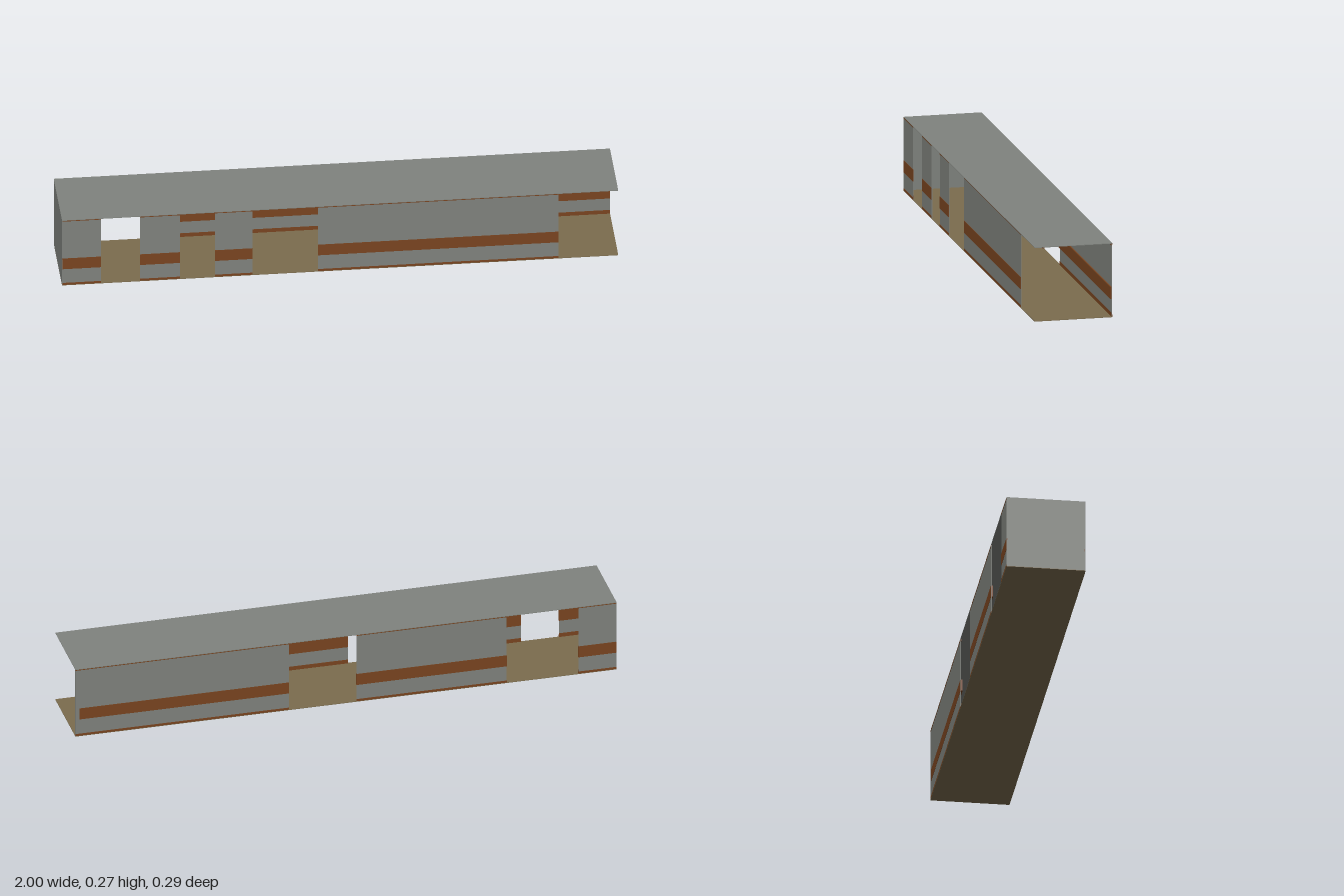
import * as THREE from 'three';

const mat = (name, color) => {
  const m = new THREE.MeshStandardMaterial({ color });
  m.name = name;
  return m;
};

export function createModel() {
  const grey = mat('wall grey', 0x80837e);
  const brown = mat('trim brown', 0x7a4520);
  const tan = mat('floor tan', 0x7b6c4e);
  const corridor = new THREE.Group();
  corridor.name = 'corridor';

  const H = 0.273, W = 0.143;

  // Box given by its minimum and maximum on each axis
  function slab(parent, name, material, [x0, x1], [y0, y1], [z0, z1]) {
    const mesh = new THREE.Mesh(new THREE.BoxGeometry(x1 - x0, y1 - y0, z1 - z0), material);
    mesh.position.set((x0 + x1) / 2, (y0 + y1) / 2, (z0 + z1) / 2);
    mesh.name = name;
    parent.add(mesh);
  }

  // Floor, ceiling and the closed end
  slab(corridor, 'floor', tan, [-1, 1], [0, 0.002], [-W, W]);
  slab(corridor, 'ceiling', grey, [-1, 1], [H - 0.002, H], [-W, W]);
  slab(corridor, 'endWall', grey, [-1, -0.998], [0.002, H - 0.002], [-W, W]);
  slab(corridor, 'endWallTopTrim', brown, [-0.998, -0.997], [0.265, H - 0.002], [-0.139, 0.139]);

  // Wall panel with a chair rail, skirting and top trim on both faces;
  // side is +1 for the front and -1 for the back
  function wallPanel(name, x0, x1, side, railDepth) {
    const panel = new THREE.Group();
    panel.name = name;
    const across = (a, b) => (side > 0 ? [a, b] : [-b, -a]);
    const inner = W - 0.003, outer = W - 0.001;
    slab(panel, 'panel', grey, [x0, x1], [0.002, H - 0.002], across(inner, outer));
    const railEnd = side < 0 && x1 === 1 ? 0.985 : x1;
    slab(panel, 'outerRail', brown, [x0, railEnd], [0.068, 0.1125], across(outer, W));
    slab(panel, 'outerSkirting', brown, [x0, x1], [0.002, 0.01], across(outer, W));
    slab(panel, 'outerTopTrim', brown, [x0, x1], [0.268, H - 0.002], across(outer, W));
    slab(panel, 'innerRail', brown, [x0, x1], [0.068, 0.1125], across(inner - railDepth, inner));
    slab(panel, 'innerSkirting', brown, [x0, x1], [0.002, 0.017], across(inner - 0.001, inner));
    slab(panel, 'innerTopTrim', brown, [x0, x1], [0.265, H - 0.002], across(inner - 0.001, inner));
    corridor.add(panel);
  }

  // Full-height doorways are left between the panels
  [[-1, -0.86], [-0.72, -0.575], [-0.45, -0.315], [-0.08, 0.785]]
    .forEach(([a, b], i) => wallPanel(`frontWall${i + 1}`, a, b, 1, 0.001));
  [[-1, -0.859], [-0.594, -0.039], [0.21, 1]]
    .forEach(([a, b], i) => wallPanel(`backWall${i + 1}`, a, b, -1, 0.005));

  return corridor;
}
